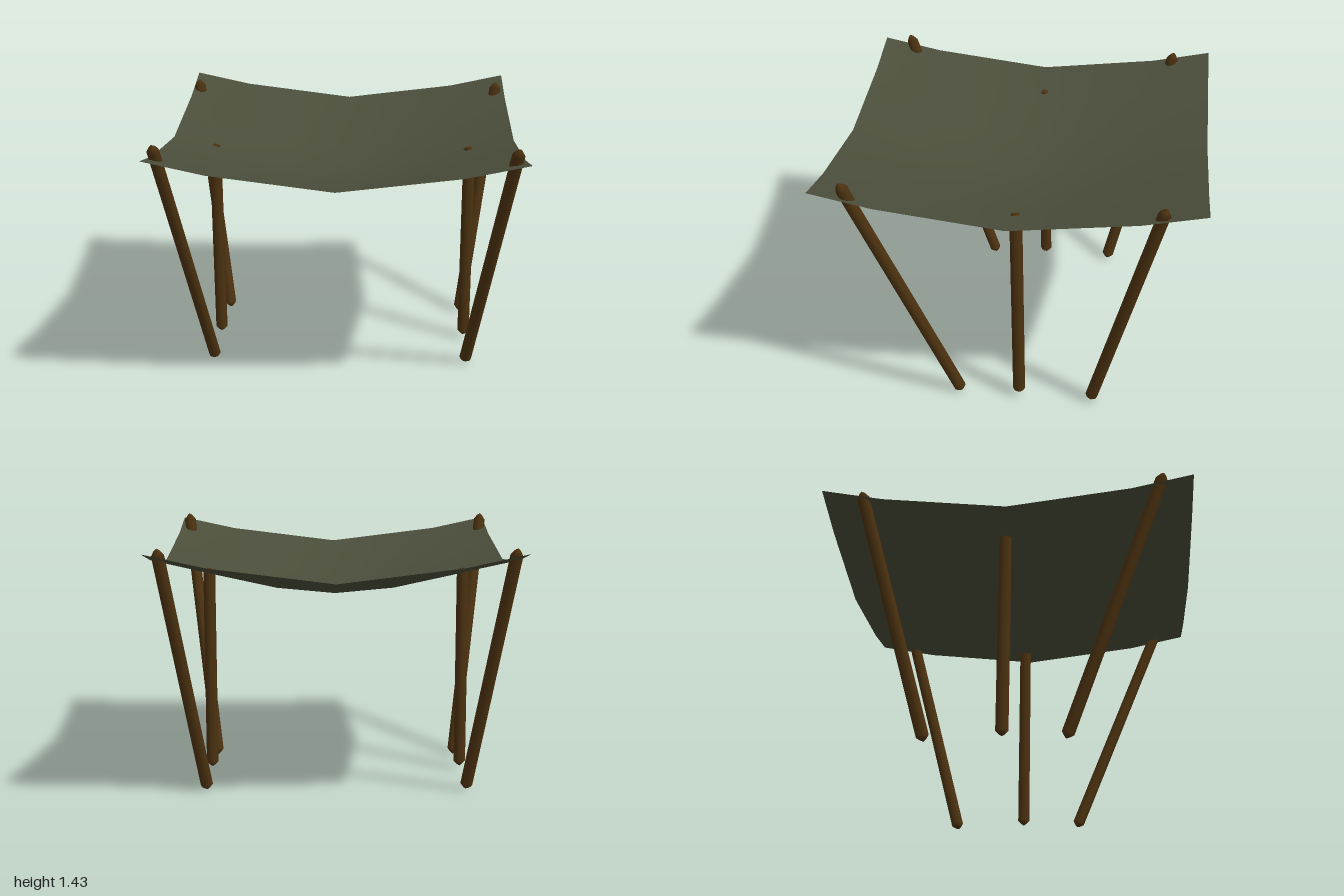
import * as THREE from 'three';

const POLE_RADIUS = 0.034;
const CLOTH = new THREE.MeshStandardMaterial({ color: 0x4b4e3b, side: THREE.DoubleSide });
const WOOD = new THREE.MeshStandardMaterial({ color: 0x4c3210 });

// Cloth height for one quadrant: rows and columns run from the middle to the edge
const SAG = [
  [1.066, 1.095, 1.165, 1.24],
  [1.095, 1.125, 1.195, 1.28],
  [1.165, 1.195, 1.25, 1.32],
  [1.24, 1.28, 1.32, 1.39],
];

// Sagging cloth, mirrored across both axes
function createCanopy() {
  const geometry = new THREE.PlaneGeometry(1.93, 2, 6, 6).rotateX(-Math.PI / 2);
  const position = geometry.attributes.position;
  for (let i = 0; i < position.count; i++) {
    const column = Math.round(Math.abs(position.getX(i)) / (1.93 / 6));
    const row = Math.round(Math.abs(position.getZ(i)) * 3);
    position.setY(i, SAG[row][column]);
  }
  geometry.computeVertexNormals();
  const canopy = new THREE.Mesh(geometry, CLOTH);
  canopy.name = 'canopy';
  return canopy;
}

// Round pole with blunt, pointed ends between two points
function createPole(name, bottom, top, tip) {
  const start = new THREE.Vector3(...bottom);
  const axis = new THREE.Vector3(...top).sub(start);
  const length = axis.length();
  const r = POLE_RADIUS;
  const profile = [
    [0, 0], [r * 0.5, 0.012], [r, 0.03],
    [r, length - tip], [r * 0.5, length - tip * 0.35], [0, length],
  ].map(([x, y]) => new THREE.Vector2(x, y));
  const pole = new THREE.Mesh(new THREE.LatheGeometry(profile, 8), WOOD);
  pole.position.copy(start);
  pole.quaternion.setFromUnitVectors(new THREE.Vector3(0, 1, 0), axis.normalize());
  pole.name = name;
  return pole;
}

export function createModel() {
  const model = new THREE.Group();
  model.name = 'canopyShelter';
  model.add(createCanopy());

  // Leaning corner poles and upright middle poles on each side
  for (const [side, s] of [['Left', 1], ['Right', -1]]) {
    const shift = -0.008;
    model.add(
      createPole(`frontPole${side}`, [s * 0.72 + shift, 0, 0.29], [s * 0.925 + shift, 1.43, 0.845], 0.04),
      createPole(`backPole${side}`, [s * 0.72 + shift, 0.005, -0.435], [s * 0.925 + shift, 1.395, -0.79], 0.04),
      createPole(`middlePole${side}`, [s * 0.727 + shift, 0.02, -0.036], [s * 0.727 + shift, 1.195, -0.022], 0.015),
    );
  }
  return model;
}
